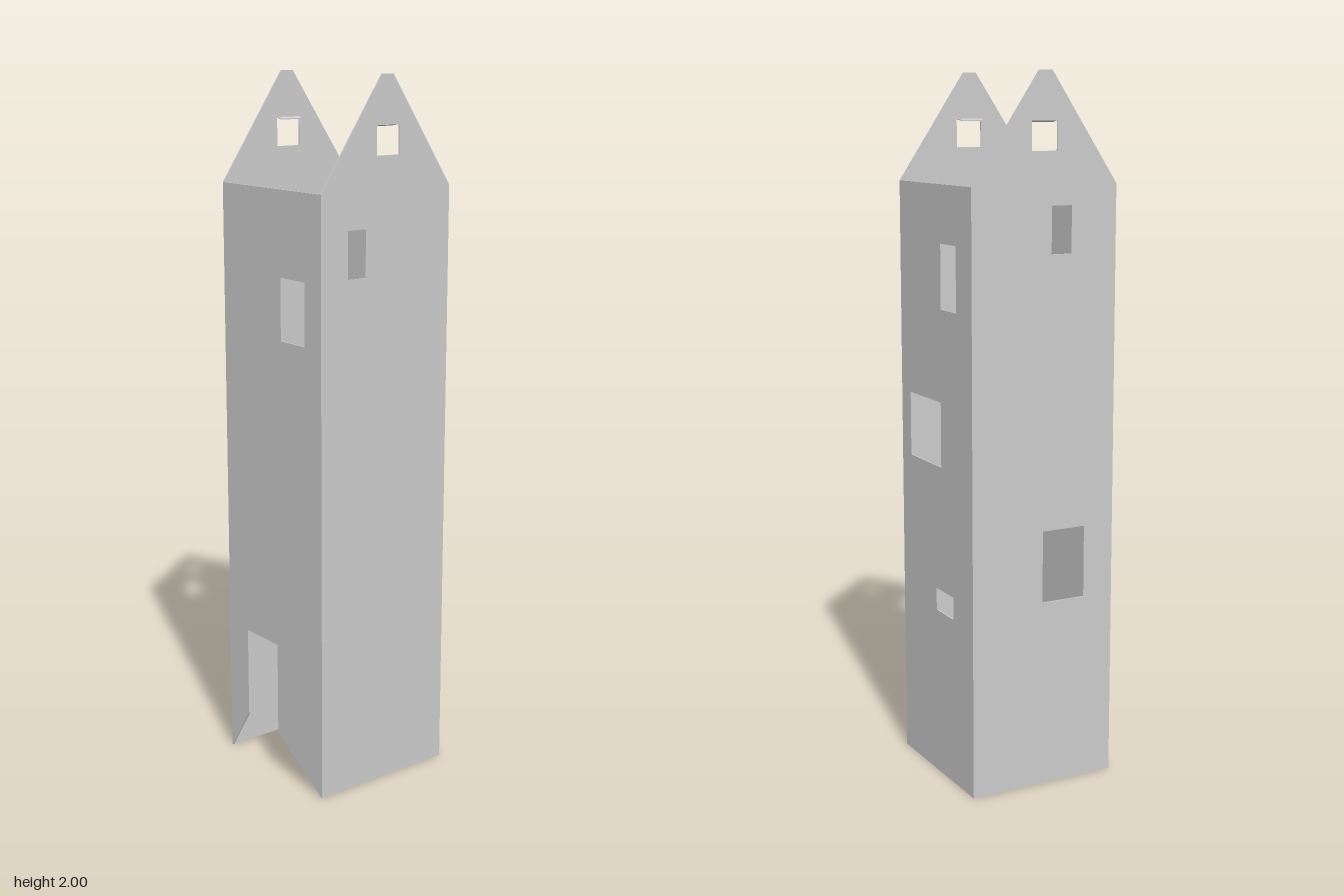
import * as THREE from 'three';

const OUT = 0.2225;    // outer face of the walls
const THICK = 0.004;   // wall thickness
const EAVES = 1.7;
const PEAK = 2;

const material = new THREE.MeshStandardMaterial({ color: 0xcccccc, flatShading: true, side: THREE.DoubleSide });

// Rectangular opening in wall coordinates
function opening(x0, x1, y0, y1) {
  return new THREE.Path([[x0, y0], [x0, y1], [x1, y1], [x1, y0]].map(p => new THREE.Vector2(...p)));
}

// Thin wall from an outline and openings, turned to face outward
function wall(name, outline, openings, turn) {
  const shape = new THREE.Shape(outline.map(p => new THREE.Vector2(...p)));
  shape.holes = openings.map(o => opening(...o));
  const geometry = new THREE.ExtrudeGeometry(shape, { depth: THICK, bevelEnabled: false });
  geometry.translate(0, 0, OUT - THICK).rotateY(turn);
  const mesh = new THREE.Mesh(geometry, material);
  mesh.name = name;
  return mesh;
}

// Thin lintel plate reaching inward from the head of a gable window
function lintel(name, zOuter, zInner) {
  const geometry = new THREE.BoxGeometry(1, 0.003, 1);
  const p = geometry.attributes.position;
  for (let i = 0; i < p.count; i++) {
    const inner = p.getZ(i) > 0;
    const half = inner ? 0.034 : 0.0385;
    p.setX(i, 0.003 + 2 * p.getX(i) * half);
    p.setY(i, p.getY(i) + (inner ? 1.866 : 1.87));
    p.setZ(i, inner ? zInner : zOuter);
  }
  geometry.computeVertexNormals();
  const mesh = new THREE.Mesh(geometry, material);
  mesh.name = name;
  return mesh;
}

export function createModel() {
  const model = new THREE.Group();
  model.name = 'tower';

  // Gabled end walls with a clipped peak
  const gable = [[-OUT, 0], [OUT, 0], [OUT, EAVES], [0.02, PEAK], [-0.02, PEAK], [-OUT, EAVES]];
  model.add(wall('frontWall', gable, [
    [-0.036, 0.042, 1.79, 1.87],   // gable window
    [-0.133, -0.072, 1.47, 1.6],   // upper window
  ], 0));
  model.add(wall('backWall', gable, [
    [-0.042, 0.036, 1.79, 1.87],   // gable window
    [0.02, 0.082, 1.515, 1.645],   // upper window
    [-0.003, 0.13, 0.54, 0.747],   // lower window
  ], Math.PI));

  // Straight side wall with three windows
  const s = OUT - THICK;
  model.add(wall('leftWall', [[-s, 0], [s, 0], [s, EAVES], [-s, EAVES]], [
    [0.037, 0.13, 1.36, 1.54],
    [-0.165, 0.032, 0.915, 1.1],
    [-0.005, 0.102, 0.49, 0.555],
  ], Math.PI / 2));

  // Side wall with a doorway that flares out to the corners at its foot
  model.add(wall('rightWall', [
    [-s, 0], [-0.132, 0.135], [-0.132, 0.398], [0.015, 0.398], [0.015, 0.125],
    [s, 0], [s, EAVES], [-s, EAVES],
  ], [[0.044, 0.151, 1.29, 1.464]], -Math.PI / 2));

  model.add(lintel('frontLintel', s, 0.196));
  model.add(lintel('backLintel', -s, -0.204));
  return model;
}
